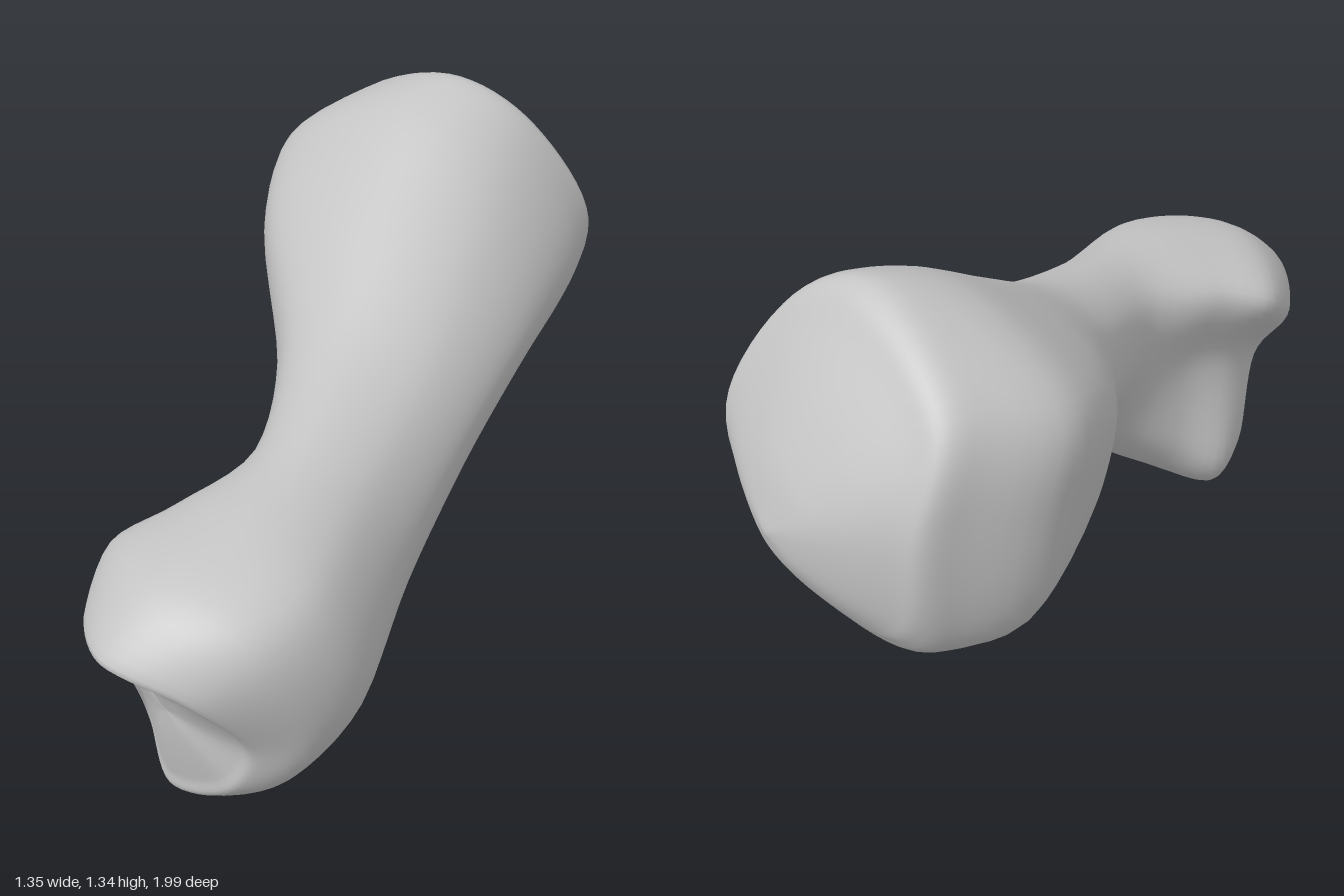
import * as THREE from 'three';
import { mergeVertices } from 'three/addons/utils/BufferGeometryUtils.js';

const AROUND = 64, ALONG = 80;
const { smoothstep } = THREE.MathUtils;

// Unit outlines as x, y from the top, round by +x, the bottom and -x
const headOutline = [0.04, 1, 0.69, 0.77, 1, 0.02, 0.68, -0.7, 0, -1, -0.8, -0.83, -0.98, -0.02, -0.83, 0.62];
const condyleOutline = [0, 1, 0.86, 0.78, 1.02, 0.05, 0.66, -0.58, -0.3, -1, -0.88, -0.66, -0.6, 0.18, -0.93, 0.79];

// Cross-sections from the broad head, along the shaft, to the double condyle:
// centre x, y, z, half width, half height, outline (-1 = head, 0 = ellipse, 1 = condyle)
const sections = [
  [-0.28, 0.94, -0.84, 0.35, 0.38, -1],
  [-0.28, 0.92, -0.78, 0.37, 0.42, -1],
  [-0.26, 0.885, -0.6, 0.41, 0.4, -1],
  [-0.13, 0.82, -0.35, 0.38, 0.315, -0.6],
  [0.1, 0.695, -0.05, 0.26, 0.245, 0],
  [0.28, 0.575, 0.25, 0.21, 0.265, 0.1],
  [0.37, 0.46, 0.5, 0.285, 0.34, 0.65],
  [0.36, 0.37, 0.72, 0.3, 0.37, 1],
  [0.36, 0.33, 0.84, 0.23, 0.285, 1],
];

// One ring, on a curved plane leaning with the bone's axis
function ring([x, y, z, width, height, kind]) {
  const across = -0.34 * smoothstep(z, -1.1, -0.6) * (1 - smoothstep(z, 0.1, 0.65));
  const above = 0.39 + 0.21 * smoothstep(z, 0.7, 0.84);
  const below = 0.15 * smoothstep(z, -0.9, -0.4) + 0.24 * Math.exp(-(((z - 0.1) / 0.3) ** 2));
  const roundFront = 1.6 * smoothstep(z, 0.6, 0.84);
  const outline = kind < 0 ? headOutline : condyleOutline;
  const points = [];
  for (let i = 0; i < 8; i++) {
    const angle = (i / 8) * Math.PI * 2, mix = Math.abs(kind);
    const dx = width * THREE.MathUtils.lerp(Math.sin(angle), outline[2 * i], mix);
    const dy = height * THREE.MathUtils.lerp(Math.cos(angle), outline[2 * i + 1], mix);
    const dz = across * dx + dy * (dy > 0 ? above : below) - roundFront * dx * dx;
    points.push(new THREE.Vector3(x + dx, y + dy, z + dz));
  }
  const curve = new THREE.CatmullRomCurve3(points, true, 'catmullrom', 0.5);
  return Array.from({ length: AROUND }, (_, i) => curve.getPoint(i / AROUND));
}

// Ring of an end face, drawn in towards its centre and flattening out there
function shrink(points, centre, scale) {
  return points.map((v) => {
    const q = new THREE.Vector3().lerpVectors(centre, v, scale);
    q.z = centre.z + (v.z - centre.z) * scale ** 1.5;
    return q;
  });
}

function boneGeometry() {
  const rings = sections.map(ring);
  const first = rings[0], last = rings[rings.length - 1];
  const headCentre = new THREE.Vector3(-0.26, 0.82, -0.98);
  const frontCentre = new THREE.Vector3(0.35, 0.36, 0.84);
  // Joint face at the back, saddle between the condyles at the front
  const stations = [
    ...[0, 0.3, 0.6, 0.86].map((scale) => shrink(first, headCentre, scale)),
    ...rings,
    ...[0.82, 0.55, 0.28, 0].map((scale) => shrink(last, frontCentre, scale)),
  ];

  // Smooth curves run the length of the bone through every ring
  const positions = [], index = [];
  for (let i = 0; i < AROUND; i++) {
    const column = new THREE.CatmullRomCurve3(stations.map((s) => s[i]), false, 'catmullrom', 0.45);
    for (let j = 0; j <= ALONG; j++) positions.push(...column.getPoint(j / ALONG).toArray());
  }
  const at = (i, j) => (i % AROUND) * (ALONG + 1) + j;
  for (let i = 0; i < AROUND; i++) {
    for (let j = 0; j < ALONG; j++) {
      if (j > 0) index.push(at(i, j), at(i, j + 1), at(i + 1, j));
      if (j < ALONG - 1) index.push(at(i + 1, j), at(i, j + 1), at(i + 1, j + 1));
    }
  }
  const geometry = new THREE.BufferGeometry();
  geometry.setAttribute('position', new THREE.Float32BufferAttribute(positions, 3));
  geometry.setIndex(index);
  const welded = mergeVertices(geometry, 1e-5);
  welded.computeVertexNormals();
  return welded;
}

export function createModel() {
  const group = new THREE.Group();
  group.name = 'toeBone';
  const boneGrey = new THREE.MeshStandardMaterial({ color: 0xc4c4c4 });
  boneGrey.name = 'boneGrey';
  const bone = new THREE.Mesh(boneGeometry(), boneGrey);
  bone.name = 'bone';
  group.add(bone);

  // Stand on the ground, centred
  const box = new THREE.Box3().setFromObject(group);
  const centre = box.getCenter(new THREE.Vector3());
  bone.position.set(-centre.x, -box.min.y, -centre.z);
  return group;
}
